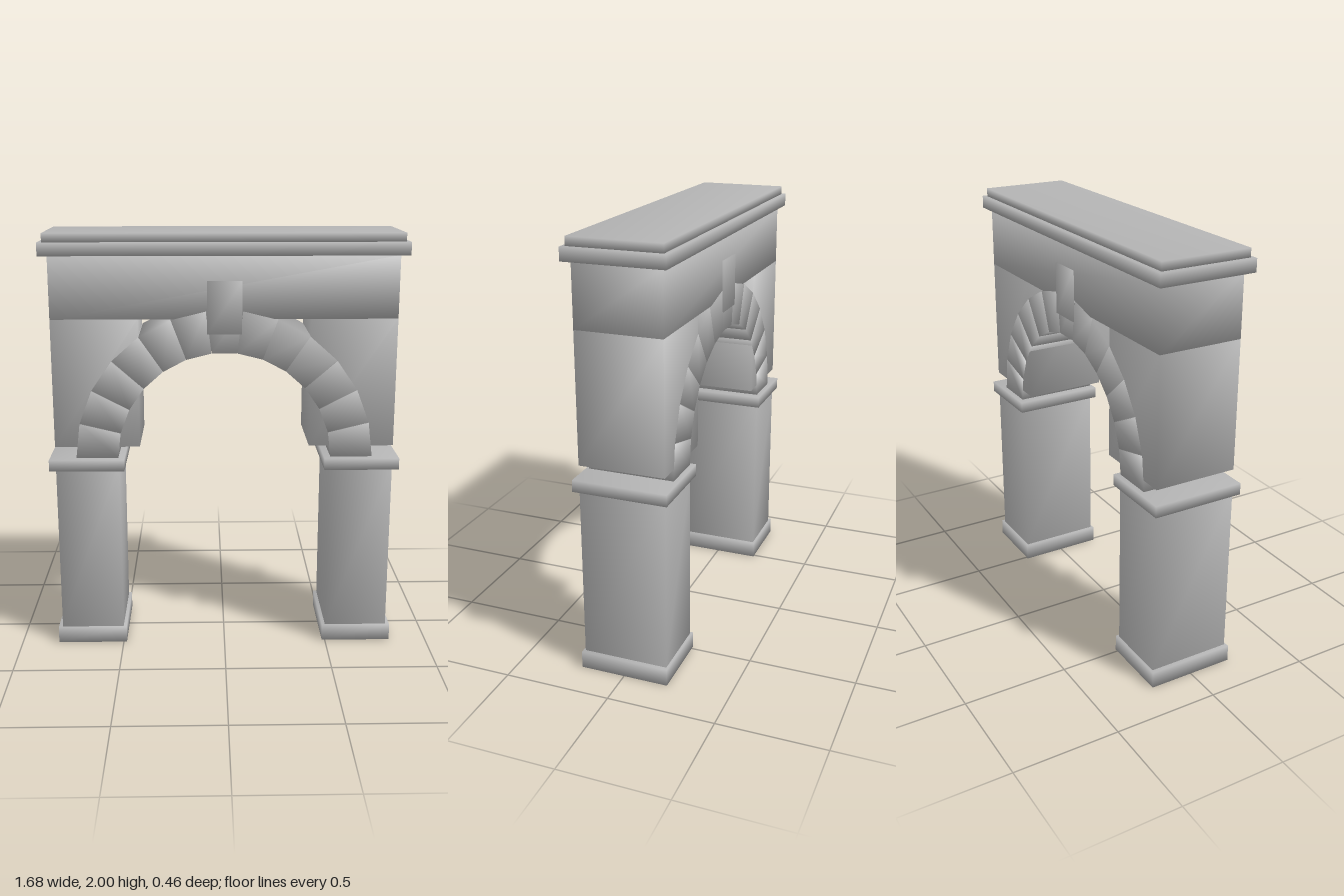
import * as THREE from 'three';
import { mergeVertices } from 'three/addons/utils/BufferGeometryUtils.js';

export function createModel() {
  const stone = new THREE.MeshStandardMaterial({ color: 0xb4b4b4 });
  stone.name = 'grey stone';
  const model = new THREE.Group();
  model.name = 'archway';

  // Welds the corners so that normals blend softly around each block.
  function soften(geometry) {
    geometry.deleteAttribute('normal');
    geometry.deleteAttribute('uv');
    const welded = mergeVertices(geometry);
    welded.computeVertexNormals();
    return welded;
  }

  // Block given by its lower and upper limits on each axis.
  function block(name, [x0, x1], [y0, y1], [z0, z1], parent = model) {
    const geometry = soften(new THREE.BoxGeometry(x1 - x0, y1 - y0, z1 - z0));
    const mesh = new THREE.Mesh(geometry, stone);
    mesh.position.set((x0 + x1) / 2, (y0 + y1) / 2, (z0 + z1) / 2);
    mesh.name = name;
    parent.add(mesh);
    return mesh;
  }

  // Piers with their bases, capitals and the blocks beside the arch.
  for (const side of [-1, 1]) {
    const pier = new THREE.Group();
    pier.name = side > 0 ? 'leftPier' : 'rightPier';
    model.add(pier);
    const span = (a, b) => (side > 0 ? [a, b] : [-b, -a]);
    block('base', span(0.485, 0.82), [0, 0.08], [-0.21, 0.21], pier);
    block('shaft', span(0.5, 0.8), [0.08, 0.89], [-0.2, 0.2], pier);
    block('capital', span(0.475, 0.83), [0.89, 0.945], [-0.22, 0.22], pier);
    block('spandrel', span(0.4, 0.8), [1.005, 1.61], [-0.2, 0.2], pier);
  }

  // Ring of wedge stones.
  const arch = new THREE.Group();
  arch.name = 'arch';
  arch.position.y = 0.95;
  model.add(arch);
  const count = 13, pitch = Math.PI / count;
  const inner = 0.5, outer = 0.696;
  const wedge = new THREE.BoxGeometry(1, outer - inner, 0.402);
  wedge.translate(0, (inner + outer) / 2, 0);
  const p = wedge.attributes.position;
  for (let i = 0; i < p.count; i++) {
    // Width grows with distance from the arch centre.
    p.setX(i, p.getX(i) * 2 * Math.tan(pitch / 2 - 0.002) * p.getY(i));
  }
  const wedgeStone = soften(wedge);
  for (let i = 0; i < count; i++) {
    const mesh = new THREE.Mesh(wedgeStone, stone);
    mesh.rotation.z = (i + 0.5) * pitch - Math.PI / 2;
    mesh.name = 'archStone' + (i + 1);
    arch.add(mesh);
  }

  // Keystone, beam and stepped cornice.
  block('keystone', [-0.08, 0.08], [1.545, 1.785], [-0.208, 0.232]);
  block('beam', [-0.8, 0.8], [1.61, 1.9], [-0.2, 0.2]);
  block('cornice', [-0.84, 0.84], [1.9, 1.96], [-0.23, 0.23]);
  block('topSlab', [-0.82, 0.82], [1.96, 2], [-0.213, 0.213]);

  return model;
}
